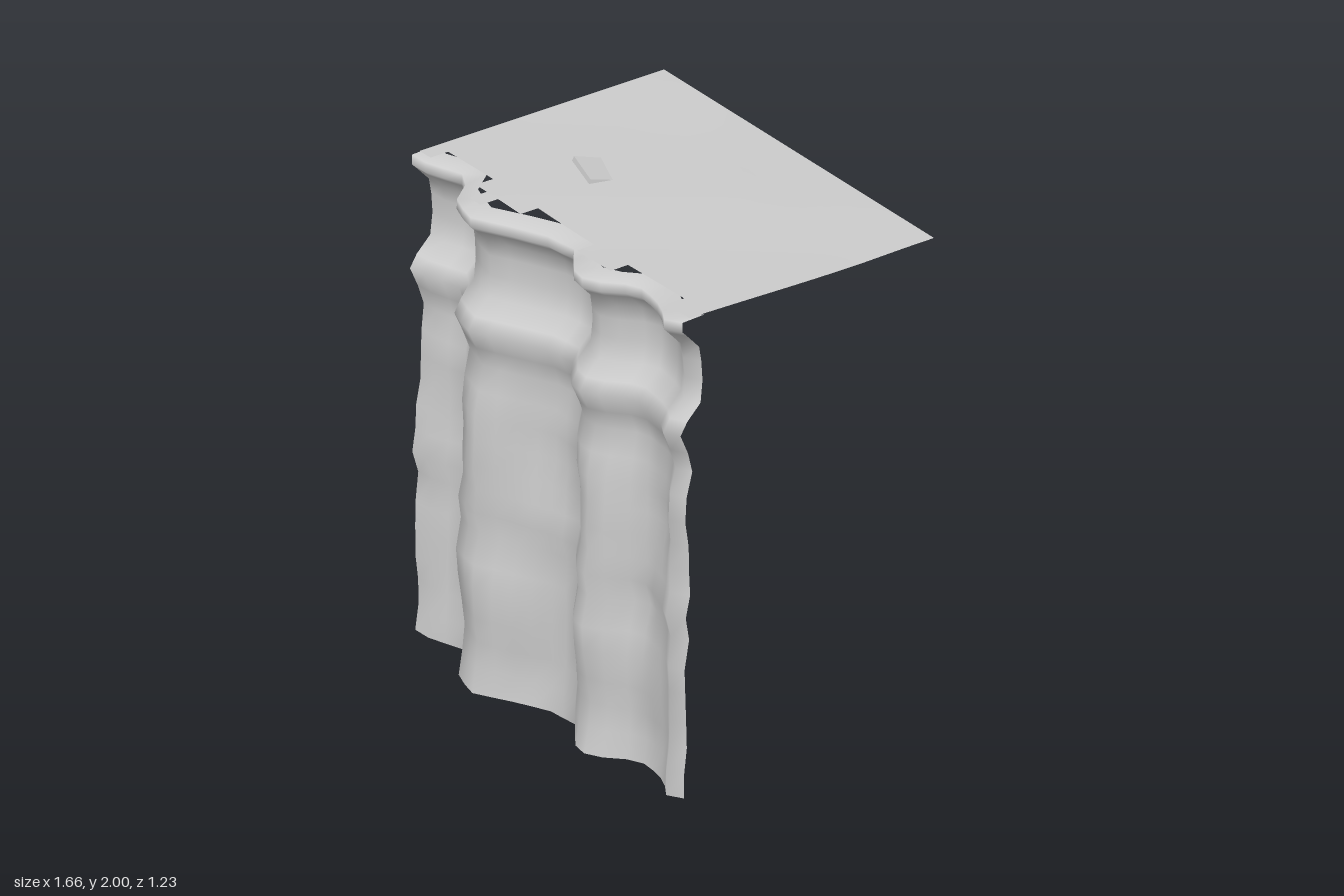
import * as THREE from 'three';

const HALF = 0.83, COLS = 24, CELL = 2 * HALF / COLS;

// Piecewise linear lookup through [position, value] pairs
function sample(pairs, t) {
  for (let i = 1; i < pairs.length; i++) {
    const [a, va] = pairs[i - 1], [b, vb] = pairs[i];
    if (t <= b) return va + (vb - va) * Math.max(0, (t - a) / (b - a));
  }
  return pairs[pairs.length - 1][1];
}

// Plan line of the cliff: x, z
const plan = [[-0.83, 0.5], [-0.76, 0.49], [-0.6, 0.42], [-0.55, 0.47], [-0.48, 0.56], [-0.35, 0.595],
  [-0.2, 0.51], [-0.07, 0.445], [0.07, 0.43], [0.13, 0.48], [0.19, 0.53], [0.27, 0.55], [0.34, 0.52],
  [0.4, 0.46], [0.48, 0.43], [0.6, 0.45], [0.68, 0.48], [0.76, 0.53], [0.83, 0.5]];

// Side profile of the cliff: y, z offset from the plan line (the last row curls back)
const profile = [[0, 0], [0.1, -0.01], [0.2, -0.015], [0.3, -0.005], [0.42, 0], [0.52, 0], [0.64, -0.02],
  [0.73, 0], [0.82, -0.015], [0.92, -0.012], [1.02, -0.02], [1.12, -0.015], [1.22, -0.022], [1.32, -0.04],
  [1.4, -0.015], [1.48, 0.02], [1.53, -0.01], [1.59, -0.07], [1.68, -0.08], [1.76, -0.075], [1.82, -0.065],
  [1.88, -0.01], [1.9, 0.01], [1.94, 0.01], [1.955, -0.085]];

function gridMesh(name, positions, index, material) {
  const g = new THREE.BufferGeometry();
  g.setAttribute('position', new THREE.Float32BufferAttribute(positions, 3));
  g.setIndex(index);
  g.computeVertexNormals();
  const mesh = new THREE.Mesh(g, material);
  mesh.name = name;
  return mesh;
}

// Rippled rock face, open at the back
function cliffFace(material) {
  const pos = [], idx = [], w = COLS + 1;
  profile.forEach(([y, dz], r) => {
    for (let c = 0; c <= COLS; c++) {
      const x = -HALF + c * CELL;
      const fade = y < 1.4 && y > 0 ? 1 : 0.25;
      const ripple = 0.007 * fade * (Math.sin(9 * x + 11 * y) + Math.sin(17 * x - 6 * y + 1));
      const sag = 0.035 * (x / HALF) ** 2;
      pos.push(x, y + sag * (y > 1.95 ? 0.7 : 1), sample(plan, x) + dz + ripple);
      if (r && c) {
        const d = r * w + c, b = d - w;
        idx.push(b - 1, b, d, b - 1, d, d - 1);
      }
    }
  });
  return gridMesh('cliffFace', pos, idx, material);
}

// Thin plateau whose front edge steps from cell to cell
function plateau(material) {
  const pos = [], idx = [], w = COLS + 1, rows = 15, back = -0.62, depth = 0.0785;
  // Number of filled rows: column limit, rows
  const steps = [[1, 14], [5, 13], [6, 14], [7, 15], [9, 14], [14, 13], [17, 14], [22, 13], [24, 14]];
  for (let r = 0; r <= rows; r++) {
    for (let c = 0; c <= COLS; c++) {
      const x = -HALF + c * CELL, z = back + r * depth;
      const bump = 0.006 * Math.sin(5 * x + 1) * Math.sin(4 * z + 2.5) * Math.min(1, r / 4);
      pos.push(x, 1.98 + bump, z);
      const filled = steps.find(([limit]) => c <= limit)[1];
      if (r && c && r <= filled) {
        const d = r * w + c, b = d - w;
        idx.push(b - 1, d - 1, d, b - 1, d, b);
      }
    }
  }
  return gridMesh('plateau', pos, idx, material);
}

// Tilted stone slab, half sunk into the plateau
function slab(material) {
  const g = new THREE.BoxGeometry(0.2, 0.022, 0.2);
  const p = g.attributes.position;
  for (let i = 0; i < p.count; i++) {
    const k = p.getY(i) > 0 ? 0.97 : 1;
    const taper = p.getZ(i) < 0 ? 0.92 : 1;
    p.setXYZ(i, p.getX(i) * k * taper, p.getY(i), p.getZ(i) * k);
  }
  g.computeVertexNormals();
  const mesh = new THREE.Mesh(g, material);
  mesh.name = 'stoneSlab';
  mesh.rotation.set(-0.2, -0.32, 0, 'YXZ');
  mesh.position.set(-0.318, 1.967, 0.012);
  return mesh;
}

export function createModel() {
  const group = new THREE.Group();
  group.name = 'cliff';
  const sheet = new THREE.MeshStandardMaterial({ color: 0xcccccc, side: THREE.DoubleSide });
  const stone = new THREE.MeshStandardMaterial({ color: 0xcccccc });
  group.add(cliffFace(sheet), plateau(sheet), slab(stone));
  return group;
}
